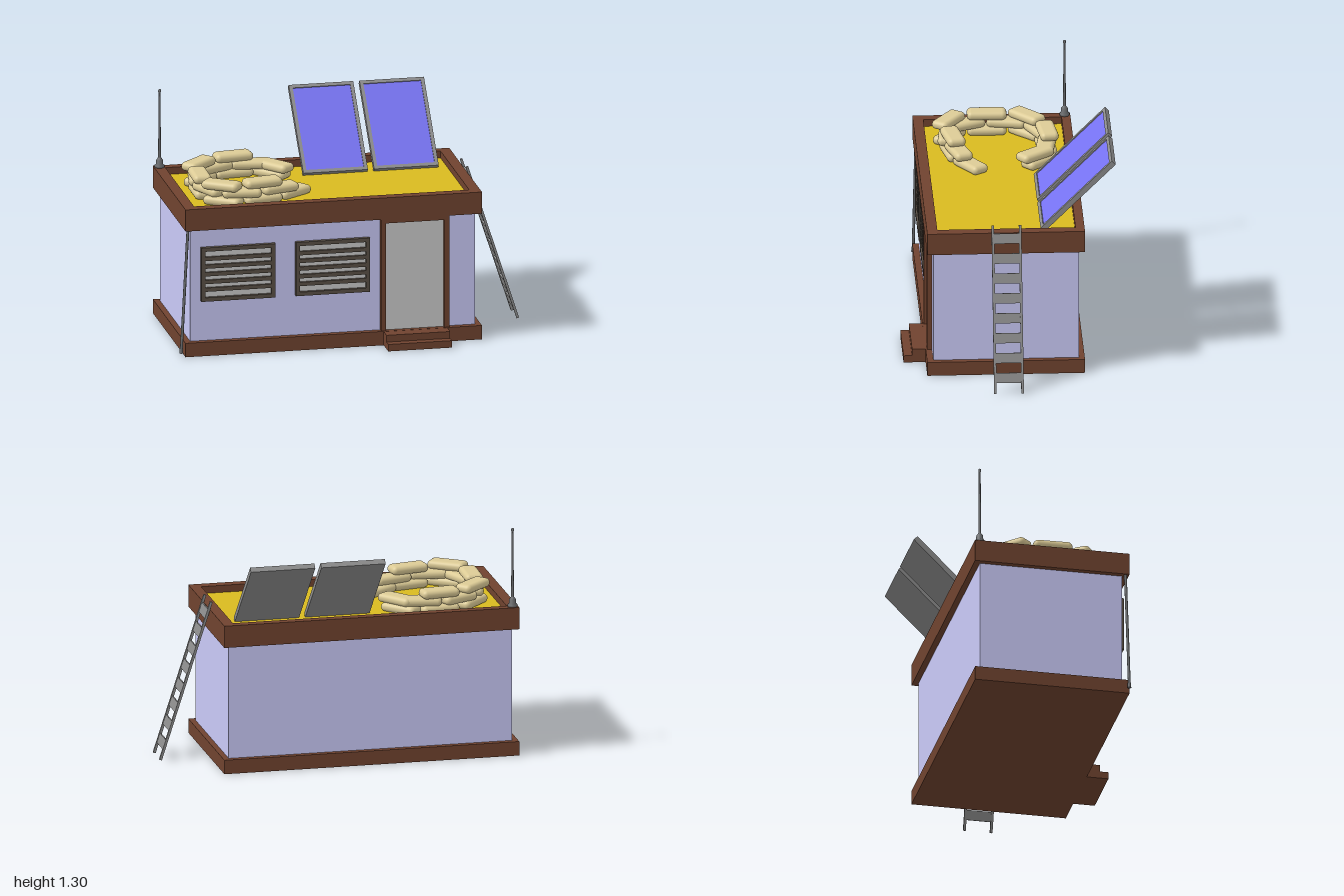
import * as THREE from 'three';
import { RoundedBoxGeometry } from 'three/addons/geometries/RoundedBoxGeometry.js';

const paint = (color) => new THREE.MeshStandardMaterial({ color });
const MAT = {
  wall: paint(0xcacaf8), trim: paint(0x70432f), roof: paint(0xd9bb20), door: paint(0xc6c6c6),
  shutter: paint(0x5a5046), slatGap: paint(0xd8d8d4), metal: paint(0x8c8c8c), dark: paint(0x6a6c6e),
  cell: paint(0x7672f2), bag: paint(0xdccb96),
};

function add(parent, name, geometry, material) {
  const mesh = new THREE.Mesh(geometry, material);
  mesh.name = name;
  parent.add(mesh);
  return mesh;
}

// Box given by its minimum and maximum on each axis
function box(parent, name, material, x0, x1, y0, y1, z0, z1) {
  const mesh = add(parent, name, new THREE.BoxGeometry(x1 - x0, y1 - y0, z1 - z0), material);
  mesh.position.set((x0 + x1) / 2, (y0 + y1) / 2, (z0 + z1) / 2);
  return mesh;
}

function group(parent, name) {
  const g = new THREE.Group();
  g.name = name;
  parent.add(g);
  return g;
}

function building(root) {
  const g = group(root, 'building');
  box(g, 'foundation', MAT.trim, -0.965, 0.71, 0, 0.08, -0.41, 0.463);
  box(g, 'walls', MAT.wall, -0.932, 0.678, 0.08, 0.725, -0.377, 0.428);
  box(g, 'roofDeck', MAT.roof, -0.91, 0.655, 0.73, 0.81, -0.365, 0.41);

  // Parapet ring around the deck, closed below by a thin soffit
  const ring = new THREE.Shape([[-0.965, -0.463], [0.71, -0.463], [0.71, 0.41], [-0.965, 0.41]]
    .map(([x, y]) => new THREE.Vector2(x, y)));
  ring.holes.push(new THREE.Path([[-0.905, -0.405], [-0.905, 0.36], [0.65, 0.36], [0.65, -0.405]]
    .map(([x, y]) => new THREE.Vector2(x, y))));
  const parapet = add(g, 'parapet', new THREE.ExtrudeGeometry(ring, { depth: 0.125, bevelEnabled: false }), MAT.trim);
  parapet.rotation.x = -Math.PI / 2;
  parapet.position.y = 0.725;

  // Door, its frame and two steps
  box(g, 'door', MAT.door, 0.17, 0.5, 0.08, 0.7, 0.42, 0.435);
  box(g, 'doorJamb', MAT.trim, 0.142, 0.17, 0.08, 0.725, 0.42, 0.456);
  box(g, 'doorJamb', MAT.trim, 0.5, 0.528, 0.08, 0.725, 0.42, 0.456);
  box(g, 'doorLintel', MAT.trim, 0.17, 0.5, 0.7, 0.725, 0.42, 0.456);
  box(g, 'upperStep', MAT.trim, 0.155, 0.515, 0.04, 0.079, 0.46, 0.538);
  box(g, 'lowerStep', MAT.trim, 0.155, 0.515, 0, 0.04, 0.46, 0.585);
}

// Louvred shutter window starting at x0
function windowUnit(root, x0) {
  const g = group(root, 'shutterWindow');
  const x1 = x0 + 0.418, y0 = 0.31, y1 = 0.62, f = 0.022;
  box(g, 'windowBack', MAT.slatGap, x0 + f, x1 - f, y0 + f, y1 - f, 0.42, 0.433);
  box(g, 'windowSide', MAT.shutter, x0, x0 + f, y0, y1, 0.42, 0.452);
  box(g, 'windowSide', MAT.shutter, x1 - f, x1, y0, y1, 0.42, 0.452);
  box(g, 'windowSill', MAT.shutter, x0 + f, x1 - f, y0, y0 + f, 0.42, 0.452);
  box(g, 'windowHead', MAT.shutter, x0 + f, x1 - f, y1 - f, y1, 0.42, 0.452);
  for (let i = 1; i <= 5; i++) {
    const y = y0 + f + i * (y1 - y0 - 2 * f) / 6;
    box(g, 'slat', MAT.shutter, x0 + f, x1 - f, y - 0.011, y + 0.011, 0.43, 0.447);
  }
}

// Solar panel tilted 45 degrees, centred on x
function solarPanel(root, x) {
  const g = group(root, 'solarPanel');
  const w = 0.1825, h = 0.279, f = 0.02;
  box(g, 'panelBack', MAT.metal, -w, w, -h, h, -0.015, 0.006);
  box(g, 'panelCell', MAT.cell, -w + f, w - f, -h + f, h - f, 0.005, 0.009);
  for (const s of [-1, 1]) {
    const sx = s * (w - f / 2), sy = s * (h - f / 2);
    box(g, 'panelSide', MAT.metal, sx - f / 2, sx + f / 2, -h, h, 0.004, 0.015);
    box(g, 'panelEnd', MAT.metal, -w + f, w - f, sy - f / 2, sy + f / 2, 0.004, 0.015);
  }
  g.rotation.x = -Math.PI / 4;
  g.position.set(x, 1.014, -0.377);
}

// Ladder leaning on the left wall, built along its own y axis
function ladder(root) {
  const g = group(root, 'ladder');
  const lean = Math.atan2(0.288, 0.89), length = 0.935;
  for (const z of [-0.0505, 0.1005])
    box(g, 'ladderRail', MAT.metal, -0.007, 0.007, 0, length, z - 0.007, z + 0.007);
  for (let i = 0; i < 8; i++) {
    const y = 0.06 + i * 0.1105;
    box(g, 'ladderTread', MAT.metal, -0.005, 0.005, y, y + 0.056, -0.044, 0.094);
  }
  g.rotation.z = lean;
  g.position.set(0.989, 0.002, 0);
}

function antenna(root) {
  const profile = [[0, 0], [0.028, 0], [0.028, 0.012], [0.021, 0.018], [0.019, 0.042], [0.009, 0.056],
    [0.008, 0.06], [0.0055, 0.43], [0.008, 0.436], [0.007, 0.448], [0, 0.452]];
  const mesh = add(root, 'antenna',
    new THREE.LatheGeometry(profile.map(([r, y]) => new THREE.Vector2(r, y)), 12), MAT.dark);
  mesh.position.set(-0.934, 0.849, -0.378);
}

// Drainpipe at the front corner with a small foot
function drainpipe(root) {
  const top = new THREE.Vector3(-0.947, 0.74, 0.443), foot = new THREE.Vector3(-0.988, 0.035, 0.457);
  add(root, 'drainpipe', new THREE.TubeGeometry(new THREE.LineCurve3(top, foot), 1, 0.008, 10), MAT.dark);
  const shoe = add(root, 'drainpipeFoot', new THREE.CylinderGeometry(0.009, 0.011, 0.03, 10), MAT.dark);
  shoe.position.set(-0.988, 0.038, 0.457);
}

// Sandbag: a rounded box that narrows and flattens towards its ends
function sandbagGeometry() {
  const geometry = new RoundedBoxGeometry(0.22, 0.054, 0.112, 4, 0.026);
  const p = geometry.attributes.position;
  for (let i = 0; i < p.count; i++) {
    const t = Math.abs(p.getX(i)) / 0.11;
    p.setZ(i, p.getZ(i) * (1 - 0.14 * t * t));
    p.setY(i, p.getY(i) * (1 - 0.12 * t * t));
  }
  return geometry;
}

function sandbags(root) {
  const g = group(root, 'sandbagWall');
  const geometry = sandbagGeometry();
  // Each layer: height, then x, z and turn of every bag
  const layers = [
    [0.834, [[-0.3, 0.175, 0.6], [-0.49, 0.265, 0.2], [-0.71, 0.27, -0.6], [-0.795, 0.06, 1.57],
      [-0.75, -0.16, 0.8], [-0.545, -0.255, 0.1], [-0.34, -0.21, -0.8]]],
    [0.879, [[-0.39, 0.235, 0.3], [-0.61, 0.285, -0.1], [-0.77, 0.18, -1.15], [-0.79, -0.05, 1.4],
      [-0.66, -0.225, 0.45], [-0.45, -0.25, -0.15], [-0.325, -0.185, -0.9]]],
    [0.924, [[-0.49, 0.262, 0.2], [-0.72, 0.275, -0.6], [-0.8, 0.06, 1.55], [-0.76, -0.16, 0.75],
      [-0.545, -0.262, 0.12]]],
  ];
  for (const [y, bags] of layers) {
    for (const [x, z, turn] of bags) {
      const bag = add(g, 'sandbag', geometry, MAT.bag);
      bag.position.set(x, y, z);
      bag.rotation.y = turn;
    }
  }
}

export function createModel() {
  const root = new THREE.Group();
  root.name = 'outpostBuilding';
  building(root);
  windowUnit(root, -0.872);
  windowUnit(root, -0.338);
  solarPanel(root, 0.0175);
  solarPanel(root, 0.4175);
  ladder(root);
  antenna(root);
  drainpipe(root);
  sandbags(root);
  return root;
}
